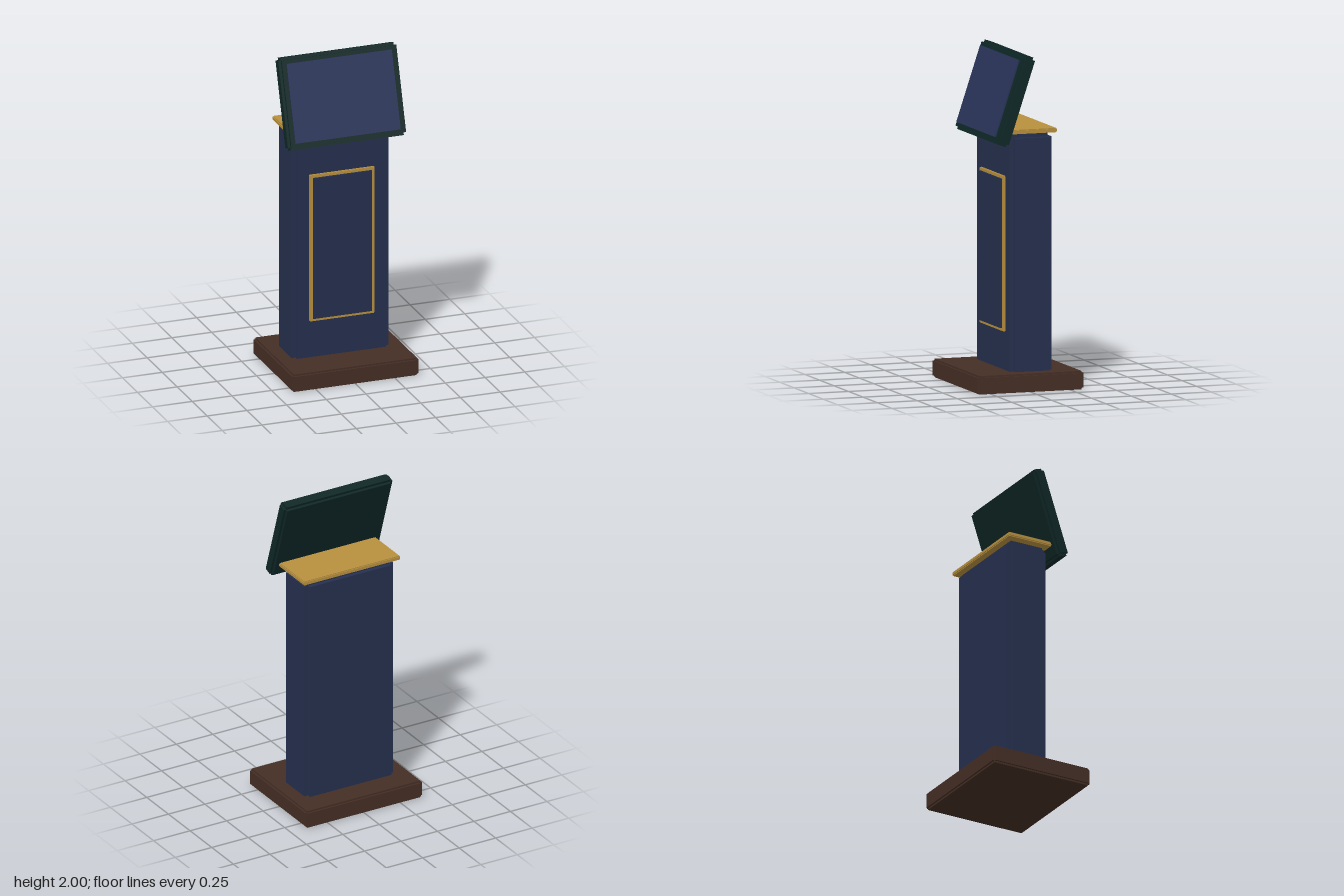
import * as THREE from 'three';
import { mergeGeometries } from 'three/addons/utils/BufferGeometryUtils.js';

const paint = (name, color) => {
  const m = new THREE.MeshStandardMaterial({ color });
  m.name = name;
  return m;
};

// Block with square-notched edges: three crossing boxes, each full size along one axis
function notchedBox(w, h, d, b) {
  const s = 2 * b;
  return mergeGeometries([
    new THREE.BoxGeometry(w, h - s, d - s),
    new THREE.BoxGeometry(w - s, h, d - s),
    new THREE.BoxGeometry(w - s, h - s, d),
  ]);
}

function add(parent, name, geometry, material, x, y, z) {
  const mesh = new THREE.Mesh(geometry, material);
  mesh.name = name;
  mesh.position.set(x, y, z);
  parent.add(mesh);
  return mesh;
}

export function createModel() {
  const navy = paint('navy', 0x26304f);
  const screenBlue = paint('screenBlue', 0x293358);
  const gold = paint('gold', 0xb8903e);
  const wood = paint('darkWood', 0x452e25);
  const green = paint('darkGreen', 0x0e2726);

  const model = new THREE.Group();
  model.name = 'lectern';

  // Base and column
  add(model, 'base', notchedBox(0.796, 0.11, 0.662, 0.011), wood, 0, 0.055, 0);
  add(model, 'column', notchedBox(0.61, 1.445, 0.262, 0.025), navy, 0, 0.8025, -0.04);

  // Gold-edged panel on the front of the column
  add(model, 'panelTrim', notchedBox(0.408, 0.926, 0.02, 0.003), gold, 0, 0.803, 0.095);
  add(model, 'panel', new THREE.BoxGeometry(0.37, 0.89, 0.014), navy, 0, 0.803, 0.107);

  // Shelf on top of the column
  add(model, 'shelf', notchedBox(0.662, 0.026, 0.296, 0.005), gold, 0, 1.542, -0.04);

  // Tilted display
  const display = new THREE.Group();
  display.name = 'display';
  display.position.set(0, 1.73, 0.08);
  display.rotation.x = -0.32;
  add(display, 'displayCase', notchedBox(0.744, 0.552, 0.08, 0.016), green, 0, 0, 0);
  add(display, 'screen', new THREE.BoxGeometry(0.662, 0.475, 0.008), screenBlue, 0, 0, 0.048);
  model.add(display);

  return model;
}
